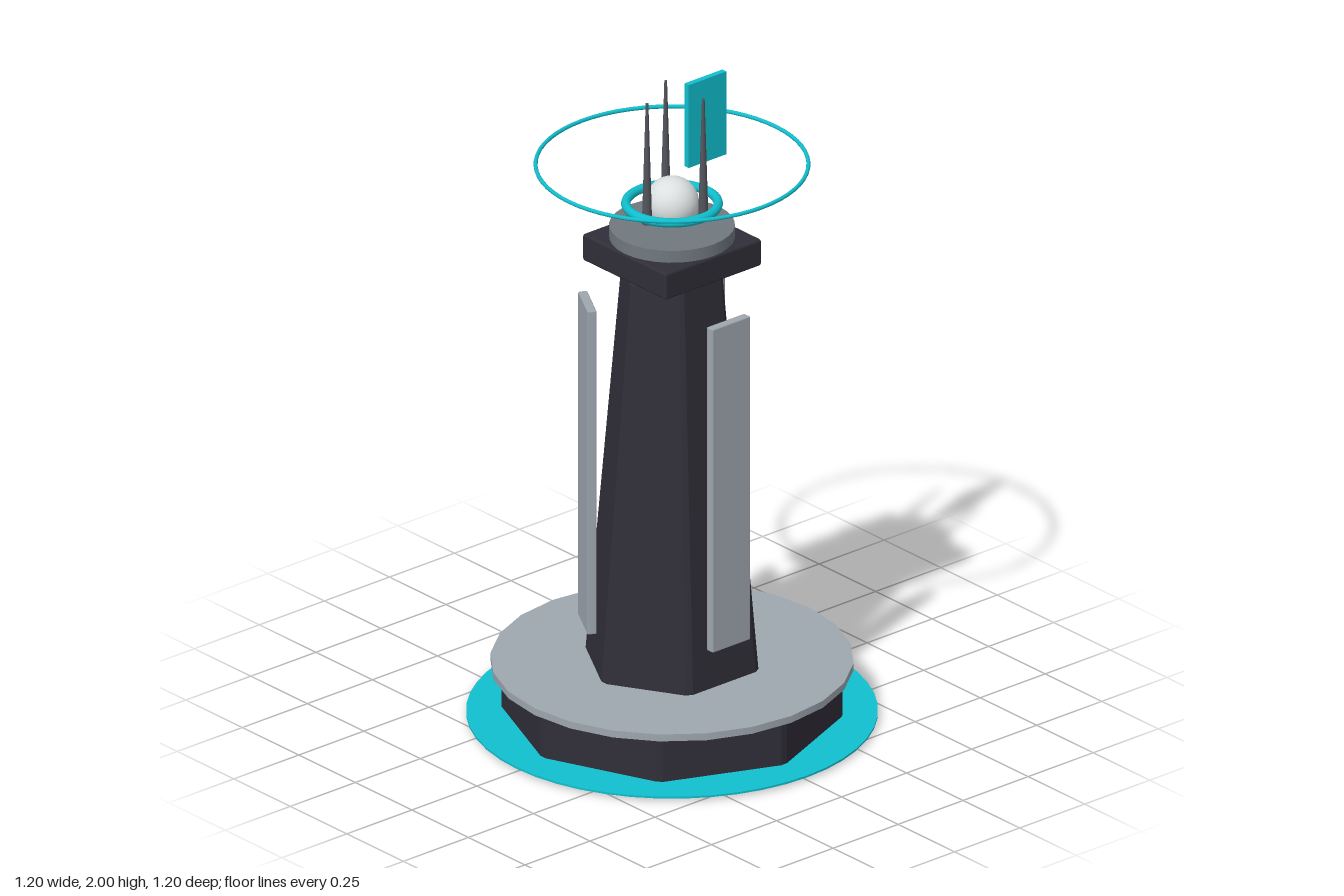
import * as THREE from 'three';
import { RoundedBoxGeometry } from 'three/addons/geometries/RoundedBoxGeometry.js';

const mat = (name, color, side = THREE.FrontSide) => {
  const m = new THREE.MeshStandardMaterial({ color, side });
  m.name = name;
  return m;
};

// Tapered n-sided prism with chamfered edges, from [radius, y] levels; a corner faces +z.
function chamferedPrism(n, levels, cut) {
  const pos = [];
  const rings = levels.map(([r, y]) => {
    const corners = [];
    for (let i = 0; i < n; i++) {
      const a = (i / n) * Math.PI * 2;
      corners.push(new THREE.Vector3(Math.sin(a) * r, y, Math.cos(a) * r));
    }
    return corners.flatMap((c, i) => [
      c.clone().lerp(corners[(i + n - 1) % n], cut),
      c.clone().lerp(corners[(i + 1) % n], cut),
    ]);
  });
  const tri = (...p) => p.forEach((v) => pos.push(v.x, v.y, v.z));
  const m = n * 2;
  const low = new THREE.Vector3(0, levels[0][1], 0);
  const high = new THREE.Vector3(0, levels[levels.length - 1][1], 0);
  for (let i = 0; i < m; i++) {
    const j = (i + 1) % m;
    for (let k = 0; k < rings.length - 1; k++) {
      const a = rings[k], b = rings[k + 1];
      tri(a[i], a[j], b[j]);
      tri(a[i], b[j], b[i]);
    }
    const top = rings[rings.length - 1];
    tri(low, rings[0][j], rings[0][i]);
    tri(high, top[i], top[j]);
  }
  const g = new THREE.BufferGeometry();
  g.setAttribute('position', new THREE.Float32BufferAttribute(pos, 3));
  g.computeVertexNormals();
  return g;
}

export function createModel() {
  const model = new THREE.Group();
  model.name = 'beaconTower';

  const dark = mat('darkStone', 0x302e38);
  const pale = mat('paleMetal', 0x9ea6af);
  const mid = mat('midMetal', 0x70787f);
  const steel = mat('darkSteel', 0x53565d);
  const teal = mat('tealGlow', 0x10bfce);
  const pink = mat('magentaLamp', 0xd41c92);
  const white = mat('whiteOrb', 0xdce0e0);

  const add = (name, geo, material, x = 0, y = 0, z = 0) => {
    const mesh = new THREE.Mesh(geo, material);
    mesh.name = name;
    mesh.position.set(x, y, z);
    model.add(mesh);
    return mesh;
  };

  // Foot: octagonal base, glowing ground disc and round deck
  add('base', chamferedPrism(8, [[0.49, 0], [0.5, 0.01], [0.5, 0.15], [0.49, 0.16]], 0.03), dark);
  add('groundDisc', new THREE.CylinderGeometry(0.598, 0.598, 0.006, 48), teal, 0, 0.012, 0);
  add('deck', new THREE.CylinderGeometry(0.528, 0.528, 0.022, 24), pale, 0, 0.17, 0);

  // Tapered hexagonal column
  add('column', chamferedPrism(6, [[0.268, 0.18], [0.157, 1.42], [0.147, 1.432]], 0.05), dark);

  // Three upright panels around the column
  for (let i = 0; i < 3; i++) {
    const a = (i * Math.PI * 2) / 3;
    const panel = add('sidePanel', new RoundedBoxGeometry(0.028, 1.035, 0.145, 1, 0.004), pale,
      Math.cos(a) * 0.25, 0.828, -Math.sin(a) * 0.25);
    panel.rotation.y = a;
  }

  // Side lamps
  for (const s of [1, -1]) {
    add('sideLamp', new THREE.SphereGeometry(0.028, 20, 14), pink, s * 0.218, 0.677, 0);
  }

  // Head: square cap, collar and orb
  add('cap', new RoundedBoxGeometry(0.37, 0.085, 0.37, 2, 0.008), dark, 0, 1.488, 0);
  add('collar', new THREE.CylinderGeometry(0.183, 0.183, 0.038, 32), mid, 0, 1.55, 0);
  add('orb', new THREE.SphereGeometry(0.079, 32, 20), white, 0, 1.639, 0);

  // Inner and outer halos
  const halo = (name, radius, tube, y) => {
    add(name, new THREE.TorusGeometry(radius, tube, 10, 64), teal, 0, y, 0).rotation.x = Math.PI / 2;
  };
  halo('innerHalo', 0.134, 0.014, 1.636);
  halo('outerHalo', 0.396, 0.006, 1.762);

  // Three tapering antennae
  for (let i = 0; i < 3; i++) {
    const a = (i * Math.PI * 2) / 3;
    add('antenna', new THREE.CylinderGeometry(0.004, 0.015, 0.385, 10), steel,
      Math.sin(a) * 0.096, 1.793, Math.cos(a) * 0.096);
  }

  // Upright rear fin
  add('fin', new THREE.BoxGeometry(0.018, 0.265, 0.145), teal, 0, 1.8675, -0.129);

  return model;
}
